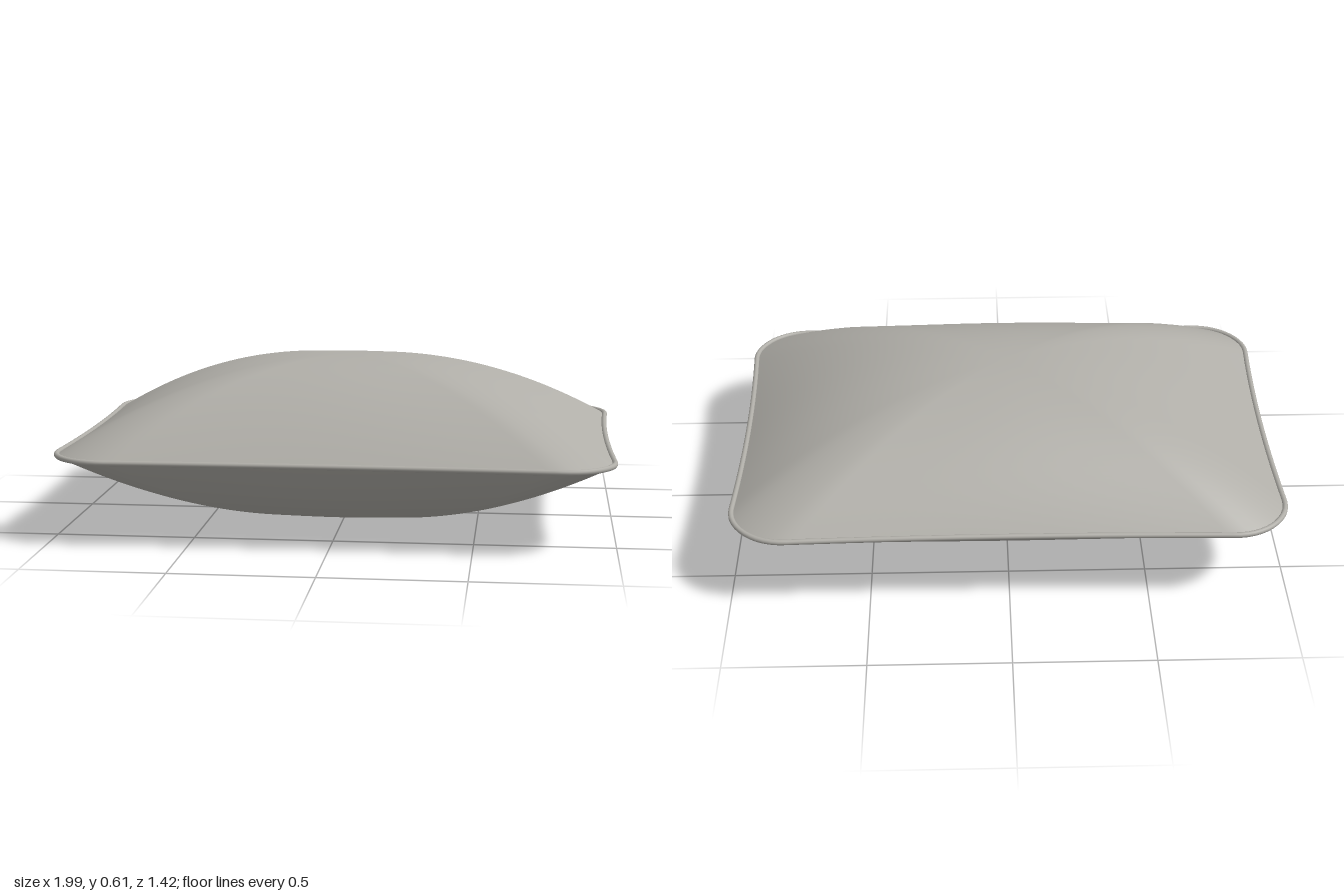
import * as THREE from 'three';

const MID = 0.304, PUFF = 0.303, HALF_X = 0.99, HALF_Z = 0.701, CORNER = 0.2;

// Seam outline: rounded rectangle whose sides bow slightly inwards, as [x, z] pairs
function seamOutline(count) {
  const a = HALF_X, b = HALF_Z, r = CORNER;
  const s = new THREE.Shape();
  s.moveTo(a, 0);
  s.lineTo(a, b - r);
  s.absarc(a - r, b - r, r, 0, Math.PI / 2);
  s.absarc(-a + r, b - r, r, Math.PI / 2, Math.PI);
  s.absarc(-a + r, -b + r, r, Math.PI, Math.PI * 1.5);
  s.absarc(a - r, -b + r, r, Math.PI * 1.5, Math.PI * 2);
  s.lineTo(a, 0);
  s.curves.forEach((c) => { c.arcLengthDivisions = 200; });
  return s.getSpacedPoints(count).slice(0, count).map((p) => {
    const bowX = 1 - 0.018 * Math.max(0, 1 - (p.y / 0.55) ** 2);
    const bowZ = 1 - 0.018 * Math.max(0, 1 - (p.x / 0.8) ** 2);
    return [p.x * bowX, -p.y * bowZ];
  });
}

// One puffed half: rings grow from a soft oval at the crown to the seam outline
function puffGeometry(outline, side) {
  const rings = 40, n = outline.length;
  const positions = [0, MID + side * PUFF, 0], index = [];
  for (let i = 1; i <= rings; i++) {
    const t = i / rings;
    const y = MID + side * PUFF * (1 - t ** 2.3);
    const blend = 0.35 + 0.65 * t;
    for (const [x, z] of outline) {
      const oval = 1 / Math.hypot(x / 0.975, z / 0.69);
      const k = t * (oval + (1 - oval) * blend);
      positions.push(x * k, y, z * k);
    }
  }
  const tri = (a, b, c) => (side > 0 ? index.push(a, b, c) : index.push(a, c, b));
  for (let j = 0; j < n; j++) {
    const next = (j + 1) % n;
    tri(0, 1 + j, 1 + next);
    for (let i = 0; i < rings - 1; i++) {
      const p = 1 + i * n, q = p + n;
      tri(p + j, q + j, q + next);
      tri(p + j, q + next, p + next);
    }
  }
  const g = new THREE.BufferGeometry();
  g.setAttribute('position', new THREE.Float32BufferAttribute(positions, 3));
  g.setIndex(index);
  g.computeVertexNormals();
  return g;
}

export function createModel() {
  const group = new THREE.Group();
  group.name = 'pillow';
  const fabric = new THREE.MeshStandardMaterial({ color: 0xb0aea8 });
  fabric.name = 'greyFabric';

  const add = (name, geometry) => {
    const mesh = new THREE.Mesh(geometry, fabric);
    mesh.name = name;
    group.add(mesh);
  };

  const outline = seamOutline(160);
  add('topCover', puffGeometry(outline, 1));
  add('bottomCover', puffGeometry(outline, -1));

  // Thin piping sewn around the seam
  const path = new THREE.CatmullRomCurve3(
    outline.map(([x, z]) => new THREE.Vector3(x, MID + 0.003, z)), true);
  add('piping', new THREE.TubeGeometry(path, 240, 0.01, 10, true));
  return group;
}
